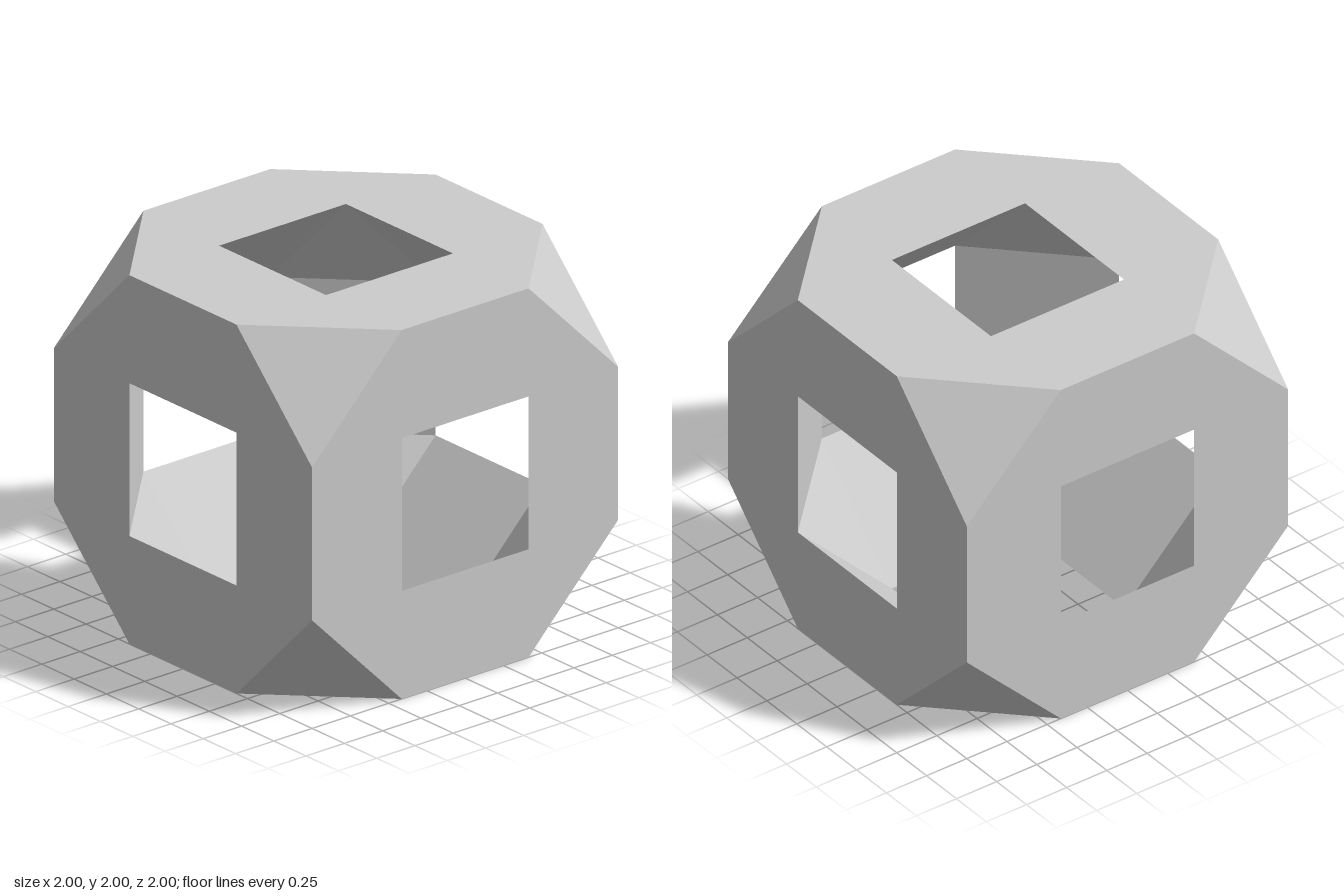
import * as THREE from 'three';

const A = Math.SQRT2 - 1; // half the common edge length
const material = new THREE.MeshStandardMaterial({ color: 0xcccccc, flatShading: true });

// Flat convex polygon, wound to face away from the centre (side 1) or towards it (side -1)
function polygon(name, corners, side) {
  const pts = corners.map((c) => new THREE.Vector3(...c));
  const normal = new THREE.Vector3().crossVectors(
    pts[1].clone().sub(pts[0]), pts[2].clone().sub(pts[0]));
  if (normal.dot(pts[0]) * side < 0) pts.reverse();
  const tris = [];
  for (let i = 1; i < pts.length - 1; i++) tris.push(pts[0], pts[i], pts[i + 1]);
  const geometry = new THREE.BufferGeometry().setFromPoints(tris);
  geometry.computeVertexNormals();
  const mesh = new THREE.Mesh(geometry, material);
  mesh.name = name;
  return mesh;
}

export function createModel() {
  const model = new THREE.Group();
  model.name = 'hollowTruncatedCube';
  const body = new THREE.Group();
  body.name = 'body';
  body.position.y = 1;
  model.add(body);

  // Six octagonal panels, each with a square window
  const octagon = new THREE.Shape([
    [1, -A], [1, A], [A, 1], [-A, 1], [-1, A], [-1, -A], [-A, -1], [A, -1],
  ].map(([x, y]) => new THREE.Vector2(x, y)));
  octagon.holes.push(new THREE.Path([
    [A, A], [A, -A], [-A, -A], [-A, A],
  ].map(([x, y]) => new THREE.Vector2(x, y))));
  const panelGeometry = new THREE.ShapeGeometry(octagon).translate(0, 0, 1);
  const h = Math.PI / 2;
  const turns = {
    front: [0, 0], left: [0, h], back: [0, 2 * h], right: [0, -h], top: [-h, 0], bottom: [h, 0],
  };
  for (const [side, [rx, ry]] of Object.entries(turns)) {
    const panel = new THREE.Mesh(panelGeometry, material);
    panel.name = side + 'Panel';
    panel.rotation.set(rx, ry, 0);
    body.add(panel);
  }

  // Eight corners: an outer triangle and the cavity triangle behind it
  for (const x of [-1, 1]) for (const y of [-1, 1]) for (const z of [-1, 1]) {
    body.add(polygon('outerCorner', [[A * x, y, z], [x, A * y, z], [x, y, A * z]], 1));
    body.add(polygon('cavityCorner', [[x, A * y, A * z], [A * x, y, A * z], [A * x, A * y, z]], -1));
  }

  // Twelve sloping cavity walls joining neighbouring windows
  for (let i = 0; i < 3; i++) for (const s of [-1, 1]) for (const t of [-1, 1]) {
    const corner = (u, v, w) => {
      const p = [0, 0, 0];
      p[i] = u * s;
      p[(i + 1) % 3] = v * t;
      p[(i + 2) % 3] = w;
      return p;
    };
    body.add(polygon('cavityWall',
      [corner(1, A, -A), corner(1, A, A), corner(A, 1, A), corner(A, 1, -A)], -1));
  }
  return model;
}
